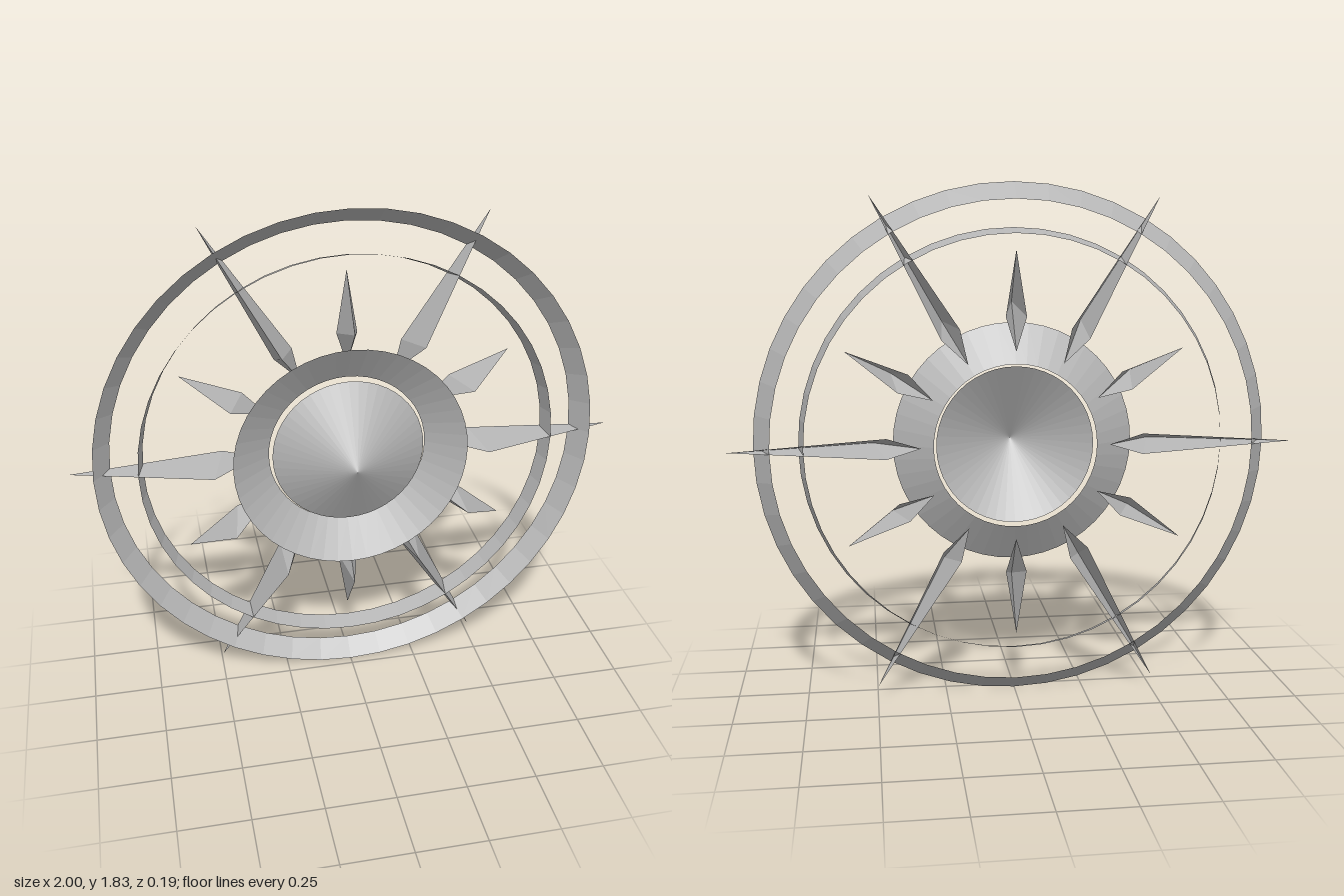
import * as THREE from 'three';

const CENTRE_Y = 0.917;
const BACK_Z = -0.096;

export function createModel() {
  const model = new THREE.Group();
  const emblem = new THREE.Group();
  emblem.name = 'sunEmblem';
  emblem.position.y = CENTRE_Y;
  model.add(emblem);

  const grey = new THREE.MeshStandardMaterial({ color: 0xb4b4b4, side: THREE.DoubleSide, flatShading: true });
  grey.name = 'plain grey';

  // Thin conical sheet between two circles, each given as [radius, z]
  function addBand(name, a, b) {
    const points = [a, b].map(([r, z]) => new THREE.Vector2(r, z));
    const geometry = new THREE.LatheGeometry(points, 48);
    geometry.rotateX(Math.PI / 2);
    const mesh = new THREE.Mesh(geometry, grey);
    mesh.name = name;
    emblem.add(mesh);
  }

  addBand('outerRing', [0.855, BACK_Z], [0.915, -0.031]);
  addBand('innerRing', [0.74, -0.092], [0.76, -0.027]);
  addBand('dishedCollar', [0.29, -0.088], [0.43, 0.003]);
  addBand('centreCone', [0.28, -0.066], [0, 0.096]);

  // Open-backed kite-shaped ray with a raised peak, pointing along +x
  function rayGeometry(tipRadius) {
    const inner = [0.335, 0, BACK_Z];
    const tip = [tipRadius, 0, BACK_Z];
    const left = [0.455, 0.037, BACK_Z];
    const right = [0.455, -0.037, BACK_Z];
    const peak = [0.5, 0, 0.044];
    const faces = [
      [tip, left, peak], [left, inner, peak],
      [inner, right, peak], [right, tip, peak],
    ];
    const geometry = new THREE.BufferGeometry();
    geometry.setAttribute('position', new THREE.Float32BufferAttribute(faces.flat(2), 3));
    geometry.computeVertexNormals();
    return geometry;
  }

  // Long and short rays alternate every 30 degrees
  const longRay = rayGeometry(1);
  const shortRay = rayGeometry(0.685);
  for (let i = 0; i < 12; i++) {
    const isLong = i % 2 === 0;
    const ray = new THREE.Mesh(isLong ? longRay : shortRay, grey);
    ray.name = isLong ? 'longRay' : 'shortRay';
    ray.rotation.z = (i * Math.PI) / 6;
    emblem.add(ray);
  }

  return model;
}
